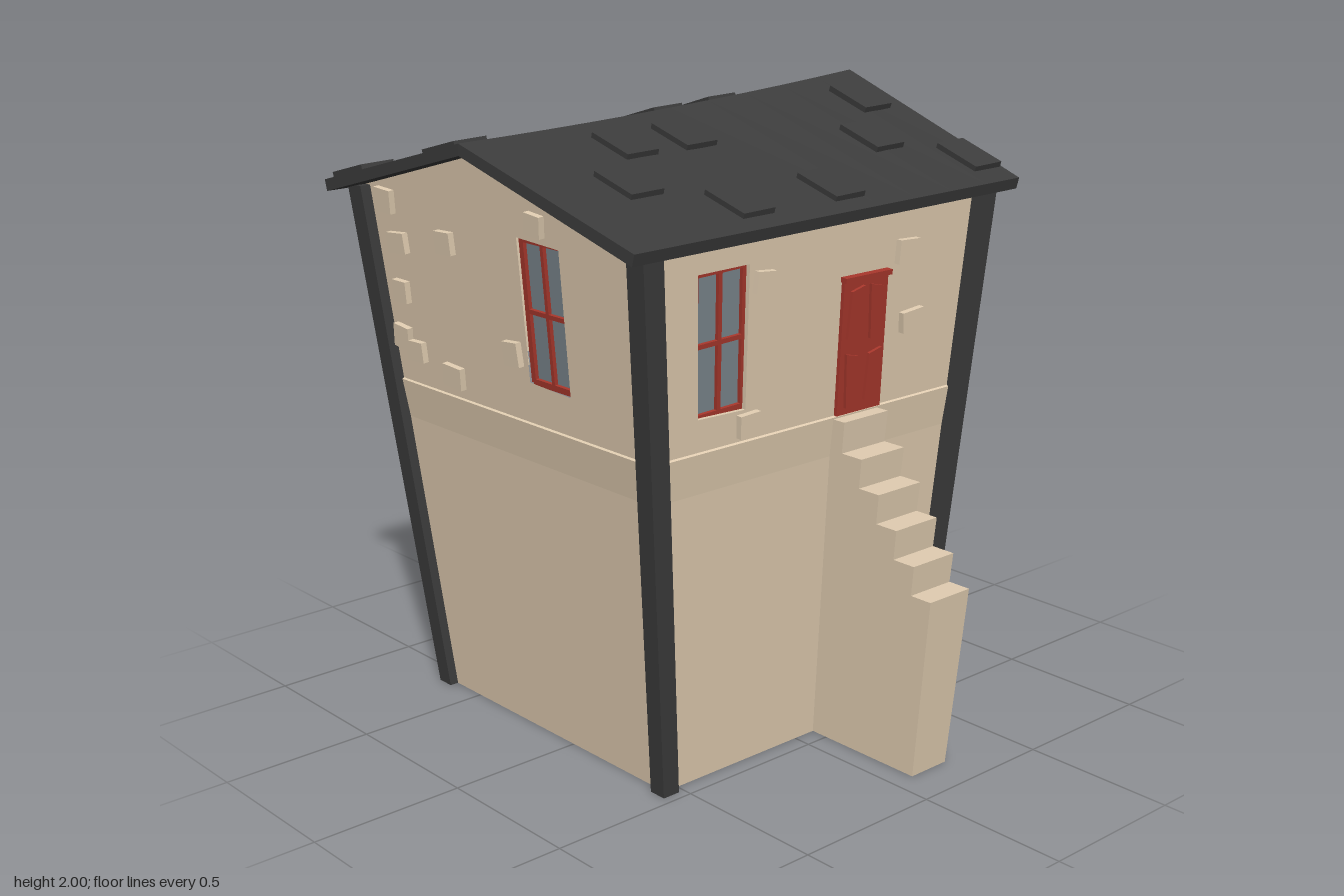
import * as THREE from 'three';

const mat = (name, color) => Object.assign(new THREE.MeshStandardMaterial({ color }), { name });

// Leaning wall planes as functions of height
const halfX = y => 0.55 + 0.0835 * y;
const frontZ = y => 0.44 + 0.055 * y;
const backZ = y => -0.66 - 0.109 * y;
const FLOOR = 1.07, EAVE = 1.711;

// Sagging roof: ridge and eave heights along x
const RIDGE_Z = -0.155, SPAN = 0.762, THICK = 0.036;
const ridgeY = x => 1.947 + 0.049 * x + 0.02 * x * x;
const eaveY = x => 1.724 + 0.012 * x;

function facesGeometry(faces) {
  const pos = [];
  for (const f of faces)
    for (let i = 1; i < f.length - 1; i++) pos.push(...f[0], ...f[i], ...f[i + 1]);
  const g = new THREE.BufferGeometry();
  g.setAttribute('position', new THREE.Float32BufferAttribute(pos, 3));
  g.computeVertexNormals();
  return g;
}

// Joins neighbouring rings with quads
function ringQuads(rings) {
  const faces = [];
  for (let i = 0; i < rings.length - 1; i++) {
    const a = rings[i], b = rings[i + 1], n = a.length;
    for (let j = 0; j < n; j++) {
      const k = (j + 1) % n;
      faces.push([a[j], a[k], b[k], b[j]]);
    }
  }
  return faces;
}

function moveVertices(g, rule) {
  const p = g.attributes.position;
  for (let i = 0; i < p.count; i++) p.setXYZ(i, ...rule(p.getX(i), p.getY(i), p.getZ(i)));
  g.computeVertexNormals();
  return g;
}

const points = list => list.map(([a, b]) => new THREE.Vector2(a, b));

export function createModel() {
  const house = new THREE.Group();
  house.name = 'house';
  const plaster = mat('plaster', 0xe1cdb1);
  const slate = mat('slate', 0x3c3c3c);
  const red = mat('redPaint', 0xa8372c);
  const glass = mat('windowGlass', 0x7c878e);

  const add = (parent, name, geometry, material) => {
    const m = new THREE.Mesh(geometry, material);
    m.name = name;
    parent.add(m);
    return m;
  };
  const box = (parent, name, w, h, d, material, x = 0, y = 0, z = 0) => {
    const m = add(parent, name, new THREE.BoxGeometry(w, h, d), material);
    m.position.set(x, y, z);
    return m;
  };

  // Wall frames: u runs to the viewer's right, d points outwards
  const sides = {
    front: { map: (u, y, d) => [u, y, frontZ(y) + d], yaw: 0, tilt: 0.055 },
    back: { map: (u, y, d) => [-u, y, backZ(y) - d], yaw: Math.PI, tilt: 0.109 },
    right: { map: (u, y, d) => [halfX(y) + d, y, -u], yaw: Math.PI / 2, tilt: 0.0835 },
    left: { map: (u, y, d) => [-halfX(y) - d, y, u], yaw: -Math.PI / 2, tilt: 0.0835 },
  };
  const onWall = (name, side, u, y) => {
    const { map, yaw, tilt } = sides[side];
    const g = new THREE.Group();
    g.name = name;
    g.position.set(...map(u, y, 0));
    g.rotation.set(tilt, yaw, 0, 'YXZ');
    house.add(g);
    return g;
  };

  // Lower storey, flaring slightly under the floor line
  const ring = (y, out = 0) => {
    const x = halfX(y) + out, f = frontZ(y) + out, b = backZ(y) - out;
    return [[-x, y, f], [x, y, f], [x, y, b], [-x, y, b]];
  };
  const rings = [ring(0), ring(0.94), ring(1.066, 0.007), ring(FLOOR)];
  add(house, 'lowerWalls', facesGeometry([...ringQuads(rings), [...rings[0]].reverse()]), plaster);

  // Upper storey panels with window openings
  const upperWall = (side, outline, opening) => {
    const shape = new THREE.Shape(points(outline));
    if (opening) shape.holes.push(new THREE.Path(points(opening)));
    const g = new THREE.ExtrudeGeometry(shape, { depth: 0.04, bevelEnabled: false });
    add(house, 'upperWall', moveVertices(g, (u, y, d) => sides[side].map(u, y, d - 0.04)), plaster);
  };
  const longWall = [[-halfX(FLOOR), FLOOR], [halfX(FLOOR), FLOOR], [halfX(EAVE), EAVE], [-halfX(EAVE), EAVE]];
  upperWall('front', longWall, [[-0.472, 1.17], [-0.287, 1.165], [-0.295, 1.603], [-0.493, 1.6]]);
  upperWall('back', longWall);
  for (const [side, s] of [['right', 1], ['left', -1]]) {
    const outline = [[frontZ(FLOOR), FLOOR], [backZ(FLOOR), FLOOR], [backZ(EAVE), EAVE],
      [RIDGE_Z, ridgeY(s * 0.7) - THICK + 0.005], [frontZ(EAVE), EAVE]];
    const opening = [[0.145, 1.192], [-0.048, 1.2], [-0.05, 1.646], [0.148, 1.638]];
    const toU = list => list.map(([z, y]) => [-s * z, y]);
    upperWall(side, toU(outline), toU(opening));
  }

  // Corner posts
  for (const sx of [-1, 1]) for (const front of [true, false]) {
    const g = moveVertices(new THREE.BoxGeometry(0.06, 1.7, 0.06), (x, y, z) => {
      const h = y + 0.85, grow = 1 + 0.13 * h;
      return [sx * halfX(h) + x * grow, h, (front ? frontZ(h) : backZ(h)) + z * grow];
    });
    add(house, 'cornerPost', g, slate);
  }

  // Roof slab, lofted along x
  const section = t => {
    const e = t * 0.79, r = t * 0.807, E = eaveY(e), R = ridgeY(r);
    const f = RIDGE_Z + SPAN, b = RIDGE_Z - SPAN;
    return [[e, E, f], [r, R, RIDGE_Z], [e, E, b],
      [e, E - THICK, b + 0.01], [r, R - THICK, RIDGE_Z], [e, E - THICK, f - 0.01]];
  };
  const sections = Array.from({ length: 11 }, (_, i) => section(i / 5 - 1));
  const L = sections[0], R = sections[10];
  add(house, 'roof', facesGeometry([
    ...ringQuads(sections).map(f => f.reverse()),
    [L[1], L[4], L[5], L[0]], [L[2], L[3], L[4], L[1]],
    [R[0], R[5], R[4], R[1]], [R[1], R[4], R[3], R[2]],
  ]), slate);

  // Loose roof slates (x, z)
  const slates = [[-0.73, -0.78], [-0.1, -0.8], [0.265, -0.78], [-0.505, -0.575], [0.5, -0.575],
    [-0.685, -0.345], [0.1, -0.355], [0.325, -0.345], [-0.33, 0.02], [-0.105, 0.03], [0.675, 0.02],
    [-0.505, 0.245], [0.495, 0.245], [-0.27, 0.455], [0.095, 0.46], [0.725, 0.45]];
  for (const [x, z] of slates) {
    const rise = ridgeY(x) - eaveY(x), d = Math.abs(z - RIDGE_Z);
    const m = box(house, 'roofSlate', 0.12, 0.034, 0.172, slate,
      x, eaveY(x) + rise * (1 - d / SPAN), z);
    m.rotation.set(Math.sign(z - RIDGE_Z) * Math.atan(rise / SPAN), 0, 0.03);
  }

  // Stones standing out of the plaster (position along wall, height)
  const gable = [[-0.055, 1.7], [0.41, 1.575], [0.72, 1.665], [0.67, 1.535], [0.68, 1.375],
    [0.7, 1.22], [0.63, 1.185], [0.435, 1.14], [0.11, 1.28]];
  const stones = {
    front: [[-0.245, 1.545], [-0.28, 1.12], [0.36, 1.55], [0.4, 1.325]],
    back: [[-0.58, 1.57], [-0.28, 1.66], [-0.28, 1.54], [-0.27, 1.36], [-0.29, 1.18], [-0.21, 1.2],
      [-0.47, 1.13], [0.36, 1.54], [0.3, 1.32]],
    right: gable,
    left: gable.map(([u, y]) => [-u, y]),
  };
  for (const side in stones) stones[side].forEach(([u, y], i) => {
    const w = 0.072 + 0.007 * (i % 4);
    // The stone beside the front window tucks behind its opening
    const x = side === 'front' && i === 0 ? u + 0.003 : u;
    const m = box(onWall('wallStone', side, x, y), 'stone', w, 0.066 + 0.005 * (i % 3), 0.04, plaster);
    m.rotation.z = ((i * 3) % 5 - 2) * 0.045;
  });

  // Recessed windows with red frame and glazing bars
  const makeWindow = (side, u, y, w, h, lean) => {
    const g = onWall('window', side, u, y);
    g.rotation.z = lean;
    box(g, 'glass', w + 0.01, h + 0.01, 0.008, glass, 0, 0, -0.03);
    for (const k of [-1, 0, 1]) {
      const t = k ? 0.02 : 0.014;
      box(g, 'uprightBar', t, h, 0.02, red, k * (w / 2 - 0.002), 0, -0.024);
      box(g, 'crossBar', w, t, 0.02, red, 0, k * (h / 2 - 0.002), -0.024);
    }
  };
  makeWindow('front', -0.387, 1.384, 0.193, 0.434, 0.032);
  makeWindow('right', -0.048, 1.419, 0.196, 0.447, 0);
  makeWindow('left', 0.048, 1.419, 0.196, 0.447, 0);

  // Door with four crooked raised panels and a head board
  const door = onWall('door', 'front', 0.183, 1.285);
  box(door, 'doorLeaf', 0.19, 0.43, 0.024, red);
  box(door, 'doorHead', 0.2, 0.016, 0.044, red, 0, 0.214, 0.002);
  for (const sx of [-1, 1]) for (const sy of [-1, 1]) {
    const panel = moveVertices(new THREE.BoxGeometry(0.054, 0.16, 0.014),
      (x, y, z) => [x - sx * sy * y * 0.06, y * (1 - sx * sy * x * 3), z]);
    add(door, 'doorPanel', panel, red).position.set(sx * 0.045, sy * 0.104 - 0.002, 0.015);
  }

  // Outside stair, flaring towards the top
  const outline = [[0.4, 0], [0.87, 0], [0.92, 0.585]];
  for (let i = 0; i < 5; i++) {
    const z = 0.842 - 0.0745 * i, y = 0.585 + 0.094 * i;
    outline.push([z, y], [z + 0.008, y + (i < 4 ? 0.094 : 0.1)]);
  }
  outline.push([0.45, 1.061]);
  const profile = new THREE.Shape(points(outline.map(([z, y]) => [-z, y])));
  const stair = new THREE.ExtrudeGeometry(profile, { depth: 1, bevelEnabled: false });
  add(house, 'stair', moveVertices(stair, (a, y, d) => [0.08 + d * (0.15 + 0.04 * y), y, -a]), plaster);

  return house;
}
